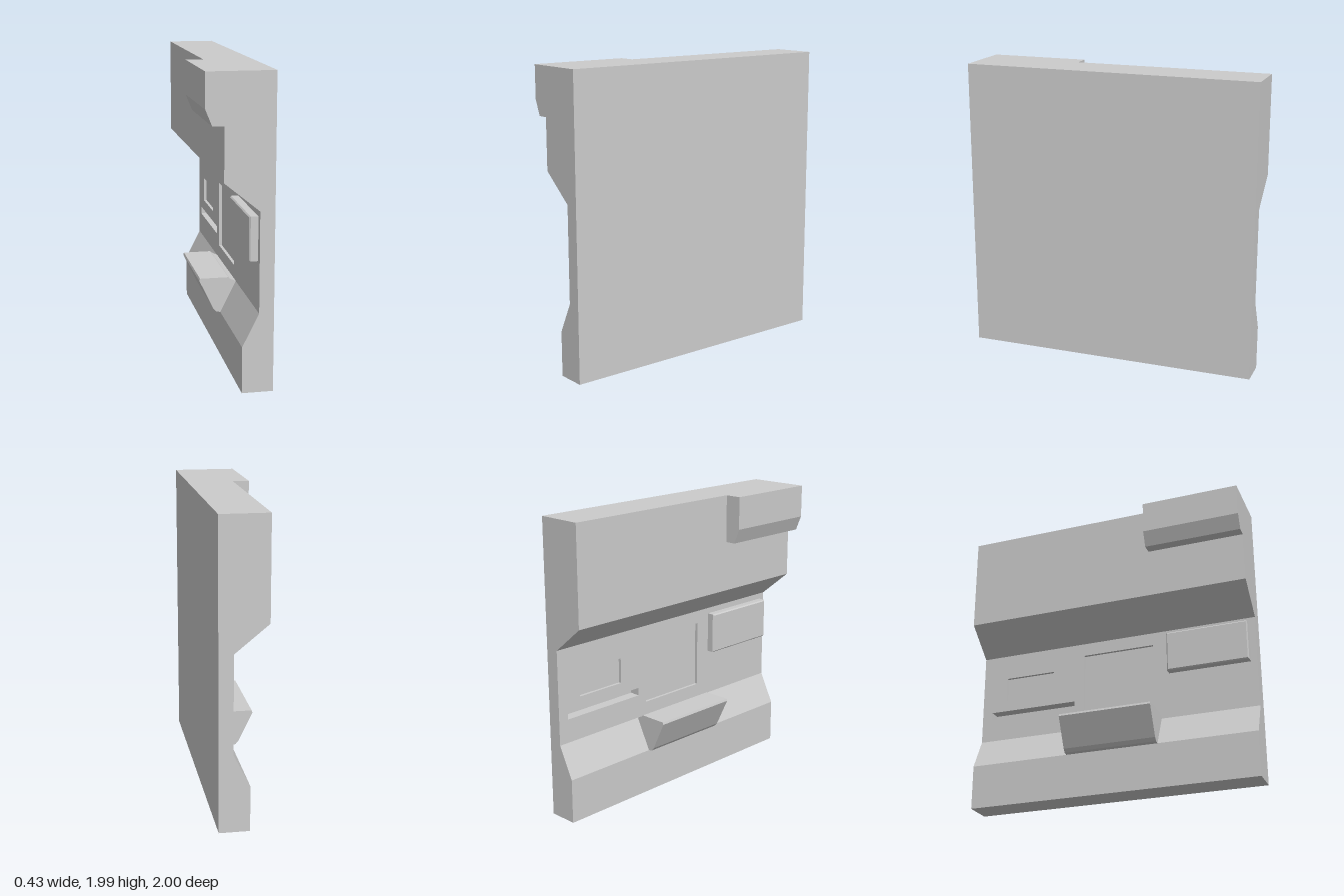
import * as THREE from 'three';

const material = new THREE.MeshStandardMaterial({ color: 0xcccccc, flatShading: true });

function outline(points, Type = THREE.Shape) {
  return new Type(points.map(([a, b]) => new THREE.Vector2(a, b)));
}

// Cross-section in x and y, run along z
function prism(name, points, z0, z1) {
  const geometry = new THREE.ExtrudeGeometry(outline(points), { depth: z1 - z0, bevelEnabled: false });
  geometry.translate(0, 0, z0);
  const mesh = new THREE.Mesh(geometry, material);
  mesh.name = name;
  return mesh;
}

// Rectangle given as [z0, z1, y0, y1], drawn with u = -z
const rect = ([z0, z1, y0, y1]) => [[-z1, y0], [-z0, y0], [-z0, y1], [-z1, y1]];

// Upright plate from x0 to x1, with rectangular openings and an optional bevel
function plate(name, area, x0, x1, openings = [], bevel = 0) {
  const [z0, z1, y0, y1] = area;
  const shape = outline(rect([z0 + bevel, z1 - bevel, y0 + bevel, y1 - bevel]));
  shape.holes = openings.map((o) => outline(rect(o).reverse(), THREE.Path));
  const geometry = new THREE.ExtrudeGeometry(shape, {
    depth: x1 - x0 - 2 * bevel,
    bevelEnabled: bevel > 0,
    bevelSize: bevel,
    bevelThickness: bevel,
    bevelSegments: 1,
  });
  geometry.rotateY(Math.PI / 2);
  geometry.translate(x0 + bevel, 0, 0);
  const mesh = new THREE.Mesh(geometry, material);
  mesh.name = name;
  return mesh;
}

export function createModel() {
  const model = new THREE.Group();
  model.name = 'wallPanel';

  // Main wall: plinth, recessed middle and thick upper part
  model.add(prism('wallBody', [
    [0.213, 0], [0.213, 1.99], [-0.1, 1.99], [-0.1, 1.33], [0.12, 1.15],
    [0.195, 1.15], [0.195, 0.51], [0.12, 0.51], [0.015, 0.3], [0.015, 0],
  ], -1, 1));

  // Middle facing in two layers: shallow panels in the outer one, the slot through both
  const largePanel = [-0.23, 0.28, 0.605, 1.06];
  const smallPanel = [-0.82, -0.46, 0.8, 0.973];
  const slot = [-0.927, -0.3, 0.67, 0.724];
  const middle = [-1, 1, 0.51, 1.15];
  model.add(plate('middleFacing', middle, 0.12, 0.14, [largePanel, smallPanel, slot]));
  model.add(plate('middleBacking', middle, 0.14, 0.195, [slot]));

  // Overhanging block at the top front corner
  model.add(prism('overhang', [
    [-0.1, 1.67], [-0.1, 1.99], [-0.213, 1.99], [-0.213, 1.77], [-0.172, 1.67],
  ], 0.33, 1));

  // Raised box with chamfered edges
  model.add(plate('raisedBox', [0.39, 0.955, 0.83, 1.11], 0.065, 0.135, [], 0.008));

  // Wedge-shaped trough with a flat top
  model.add(prism('trough', [
    [0.13, 0.3], [0.13, 0.51], [0.115, 0.513], [0.08, 0.53], [0.07, 0.54], [-0.122, 0.54],
    [-0.127, 0.525], [-0.032, 0.327], [-0.012, 0.305], [0.015, 0.3],
  ], -0.31, 0.33));

  return model;
}
